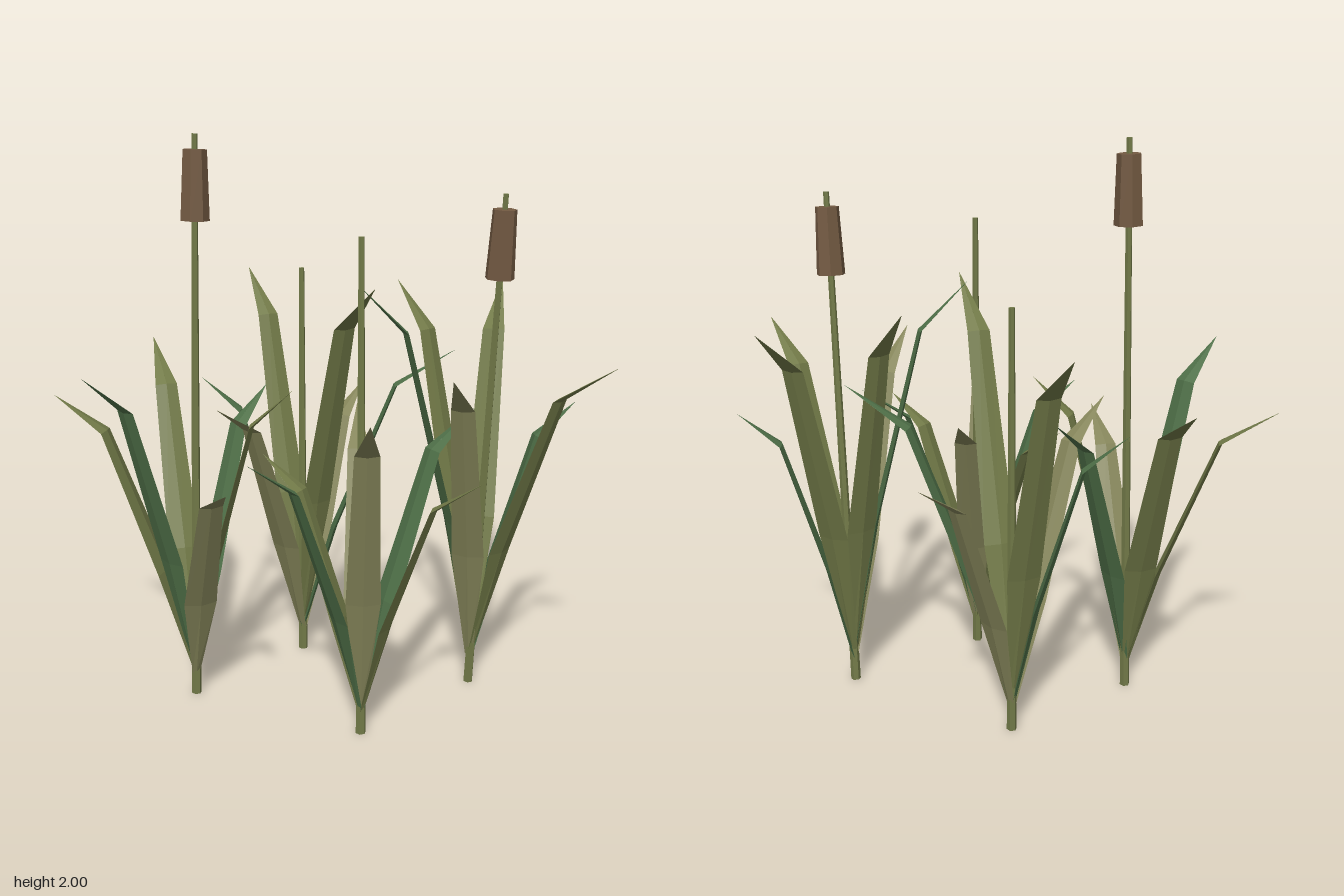
import * as THREE from 'three';

const material = (color) =>
  new THREE.MeshStandardMaterial({ color, flatShading: true, roughness: 1, metalness: 0 });

const OLIVE = 0x727a48, KHAKI = 0x85855a, GREEN = 0x4f7048;

// base [x, z], stem top [x, y, z], height of the seed head's bottom,
// leaf tips [x, y, z, colour]
const PLANTS = [
  { base: [-0.47, 0.15], top: [-0.43, 2, 0.09], head: 1.72, tips: [
    [-0.755, 1.22, -0.345, OLIVE], [-0.955, 1.11, 0.147, OLIVE], [-0.687, 1.27, 0.52, GREEN],
    [-0.205, 0.945, 0.607, KHAKI], [-0.1, 1.165, 0.147, OLIVE], [-0.27, 1.1, -0.18, GREEN]] },
  { base: [-0.16, -0.275], top: [-0.165, 1.51, -0.315], tips: [
    [-0.46, 1.45, -0.675, OLIVE], [0.01, 1.01, -0.675, KHAKI], [0.4, 1.22, -0.345, GREEN],
    [0.18, 1.52, 0.16, OLIVE], [-0.345, 1.1, 0.205, KHAKI], [-0.53, 1.1, -0.23, GREEN]] },
  { base: [0.17, 0.31], top: [0.15, 1.7, 0.25], tips: [
    [0.07, 1.05, -0.165, KHAKI], [0.5, 1.1, 0.005, GREEN], [0.56, 0.97, 0.42, OLIVE],
    [0.25, 1.21, 0.67, KHAKI], [-0.14, 1.04, 0.587, GREEN], [-0.19, 0.95, 0.19, OLIVE]] },
  { base: [0.505, -0.13], top: [0.575, 1.81, -0.065], head: 1.53, tips: [
    [0.55, 1.44, -0.64, OLIVE], [0.84, 1.06, -0.29, GREEN], [0.955, 1.3, 0.187, OLIVE],
    [0.457, 1.27, 0.337, KHAKI], [0.11, 1.51, 0.045, GREEN], [0.185, 1.47, -0.357, OLIVE]] },
];

// Leaf stations: reach fraction, height fraction, half width, half thickness
const STATIONS = [
  [0.01, 0.09, 0.014, 0.006],
  [0.22, 0.43, 0.058, 0.011],
  [0.62, 0.89, 0.04, 0.008],
  [1, 1, 0.0005, 0.0005],
];

// Blade with a diamond cross-section, bending outward in three straight runs
function leafGeometry([bx, bz], [tx, ty, tz]) {
  const reach = Math.hypot(tx - bx, tz - bz);
  const ux = (tx - bx) / reach, uz = (tz - bz) / reach;
  const spine = STATIONS.map(([r, h]) => new THREE.Vector2(r * reach, h * ty));
  const position = [], index = [];
  STATIONS.forEach(([, , width, thick], i) => {
    const tangent = spine[Math.min(i + 1, 3)].clone().sub(spine[Math.max(i - 1, 0)]).normalize();
    for (const [s, o] of [[width, 0], [0, thick], [-width, 0], [0, -thick]]) {
      const r = spine[i].x + o * tangent.y;
      position.push(bx + ux * r - uz * s, spine[i].y - o * tangent.x, bz + uz * r + ux * s);
    }
    if (i === 3) return;
    for (let j = 0; j < 4; j++) {
      const a = i * 4 + j, b = i * 4 + ((j + 1) % 4);
      index.push(a, b, b + 4, a, b + 4, a + 4);
    }
  });
  const geometry = new THREE.BufferGeometry();
  geometry.setAttribute('position', new THREE.Float32BufferAttribute(position, 3));
  geometry.setIndex(index);
  geometry.computeVertexNormals();
  return geometry;
}

// Tapered prism running between two points
function rod(name, from, to, r0, r1, sides, color) {
  const axis = to.clone().sub(from);
  const mesh = new THREE.Mesh(
    new THREE.CylinderGeometry(r1, r0, axis.length(), sides), material(color));
  mesh.position.copy(from).add(to).multiplyScalar(0.5);
  mesh.quaternion.setFromUnitVectors(new THREE.Vector3(0, 1, 0), axis.normalize());
  mesh.name = name;
  return mesh;
}

export function createModel() {
  const model = new THREE.Group();
  model.name = 'reeds';
  for (const { base, top, head, tips } of PLANTS) {
    const plant = new THREE.Group();
    plant.name = 'reedPlant';

    // Leaning stem
    const foot = new THREE.Vector3(base[0], 0, base[1]);
    const crown = new THREE.Vector3(...top);
    plant.add(rod('stem', foot, crown, 0.018, 0.01, 6, OLIVE));

    // Brown seed head around the upper stem
    if (head) {
      const at = (y) => foot.clone().lerp(crown, y / crown.y);
      plant.add(rod('seedHead', at(head), at(head + 0.23), 0.05, 0.041, 7, 0x735a42));
    }

    // Ring of leaves
    for (const tip of tips) {
      const leaf = new THREE.Mesh(leafGeometry(base, tip), material(tip[3]));
      leaf.name = 'leaf';
      plant.add(leaf);
    }
    model.add(plant);
  }
  return model;
}
